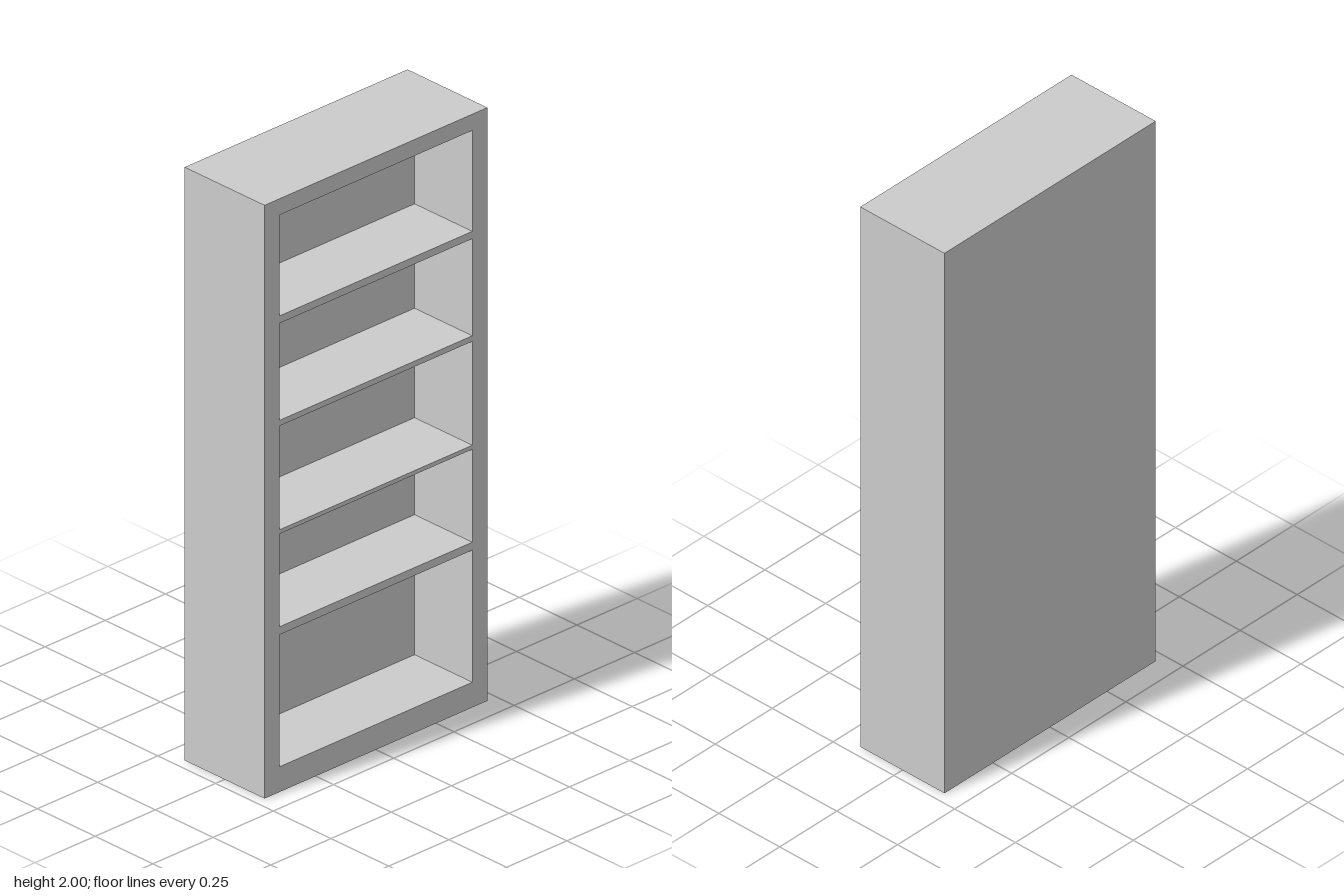
import * as THREE from 'three';

const W = 0.925, H = 2, D = 0.346; // outer size
const NICHE_W = 0.8, NICHE_D = 0.25;
// bottom and top height of each compartment
const NICHES = [[0.085, 0.53], [0.557, 0.87], [0.884, 1.234], [1.253, 1.58], [1.605, 1.945]];

const material = new THREE.MeshStandardMaterial({ color: 0xcccccc });

// box without its front (+z) face; inward turns the walls to face the inside
function openBox(w, h, d, inward) {
  const geo = new THREE.BoxGeometry(w, h, d);
  let index = Array.from(geo.index.array).filter((_, i) => i < 24 || i >= 30);
  if (inward) index.reverse();
  geo.clearGroups();
  geo.setIndex(index);
  geo.computeVertexNormals();
  return geo;
}

function rectangle(path, x0, y0, x1, y1) {
  path.moveTo(x0, y0).lineTo(x1, y0).lineTo(x1, y1).lineTo(x0, y1).closePath();
  return path;
}

export function createModel() {
  const group = new THREE.Group();
  group.name = 'bookcase';
  const add = (name, geo, x, y, z) => {
    const mesh = new THREE.Mesh(geo, material);
    mesh.name = name;
    mesh.position.set(x, y, z);
    group.add(mesh);
  };

  // sides, top, bottom and back
  add('carcass', openBox(W, H, D, false), 0, H / 2, 0);

  // front face of the frame and shelf edges, pierced by the compartments
  const face = rectangle(new THREE.Shape(), -W / 2, 0, W / 2, H);
  for (const [y0, y1] of NICHES) {
    face.holes.push(rectangle(new THREE.Path(), -NICHE_W / 2, y0, NICHE_W / 2, y1));
  }
  add('frontFrame', new THREE.ShapeGeometry(face), 0, 0, D / 2);

  // recessed compartments: shelf, ceiling, side walls and back panel
  NICHES.forEach(([y0, y1], i) => {
    add(`compartment${i + 1}`, openBox(NICHE_W, y1 - y0, NICHE_D, true),
      0, (y0 + y1) / 2, D / 2 - NICHE_D / 2);
  });

  return group;
}
